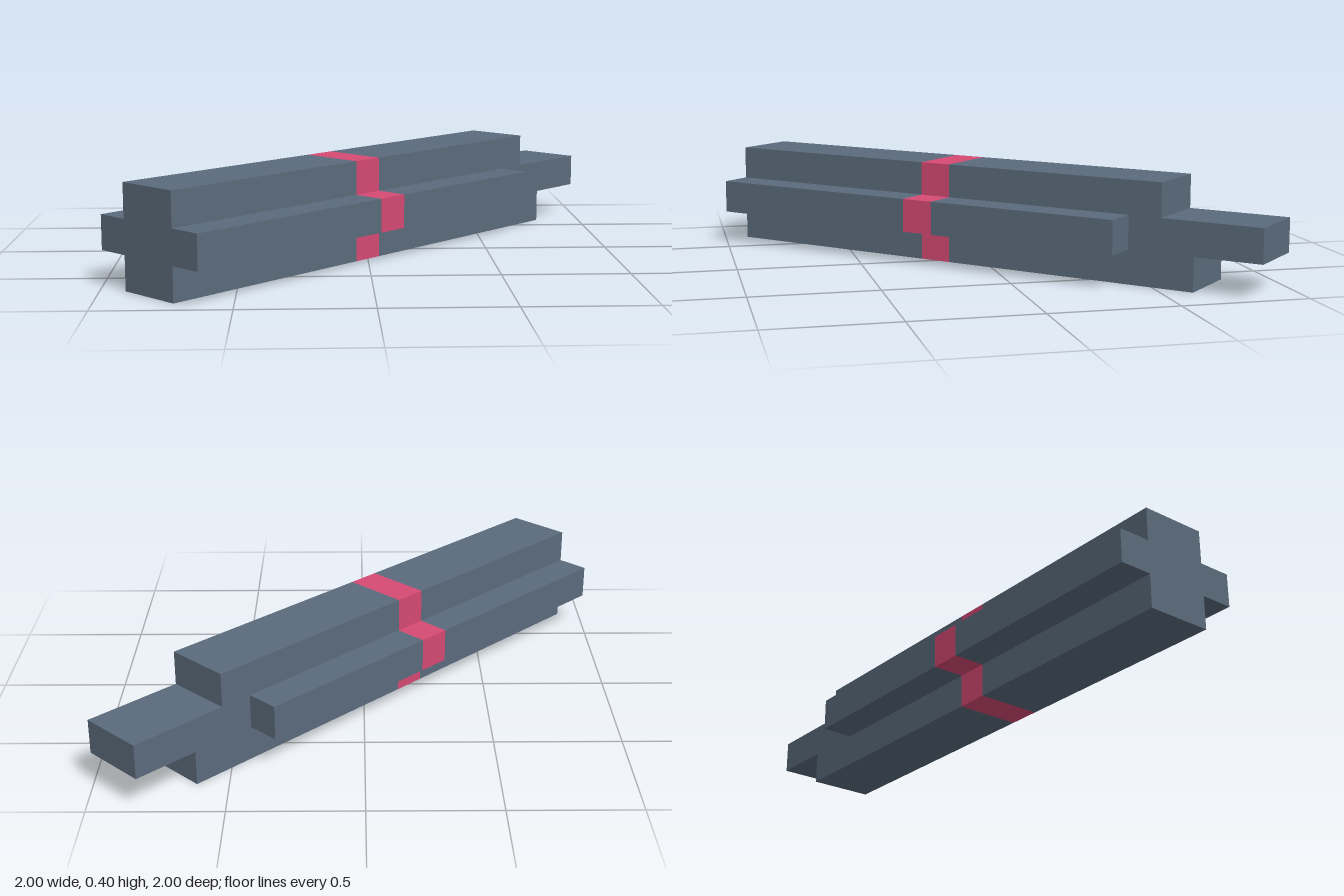
import * as THREE from 'three';

// One grid unit; the bar is 18 units long and lies diagonally
const S = (2 * Math.SQRT2) / 21;
const START = -8.5;

const rect = (x0, y0, x1, y1) => [[x0, y0], [x1, y0], [x1, y1], [x0, y1]];
const PLUS = [[-1, 0], [1, 0], [1, 1], [2, 1], [2, 2], [1, 2], [1, 3], [-1, 3], [-1, 2], [-2, 2], [-2, 1], [-1, 1]];

// Side walls of a prism between two positions along the bar
function walls(profile, from, to) {
  const pos = [];
  profile.forEach((p, i) => {
    const q = profile[(i + 1) % profile.length];
    const a = [...p, from], b = [...q, from], c = [...q, to], d = [...p, to];
    pos.push(...a, ...b, ...c, ...a, ...c, ...d);
  });
  const g = new THREE.BufferGeometry();
  g.setAttribute('position', new THREE.Float32BufferAttribute(pos, 3));
  g.computeVertexNormals();
  return g;
}

// Flat end face, looking along the bar or back
function endFace(profile, at, back = false) {
  const g = new THREE.ShapeGeometry(new THREE.Shape(profile.map(([x, y]) => new THREE.Vector2(x, y))));
  if (back) g.rotateY(Math.PI);
  return g.translate(0, 0, at);
}

export function createModel() {
  const slate = new THREE.MeshStandardMaterial({ color: 0x5b6b7c });
  slate.name = 'slate';
  const pink = new THREE.MeshStandardMaterial({ color: 0xd64a74 });
  pink.name = 'pink';

  const bar = new THREE.Group();
  bar.name = 'bar';
  const add = (name, geometry, material = slate) => {
    const mesh = new THREE.Mesh(geometry, material);
    mesh.name = name;
    bar.add(mesh);
  };

  // Cross-shaped body with a coloured band
  add('rearEnd', endFace(PLUS, 0, true));
  add('rearBody', walls(PLUS, 0, 7));
  add('band', walls(PLUS, 7, 8), pink);
  add('frontBody', walls(PLUS, 8, 14));

  // Side rails stop first, then the upper bar, then the lower bar
  for (const x of [-2, 1]) add('railEnd', endFace(rect(x, 1, x + 1, 2), 14));
  add('shoulder', walls(rect(-1, 0, 1, 3), 14, 15));
  add('upperBarEnd', endFace(rect(-1, 2, 1, 3), 15));
  add('neck', walls(rect(-1, 0, 1, 2), 15, 16));
  add('lowerBarEnd', endFace(rect(-1, 0, 1, 1), 16));

  // Core sticking out as the tip; its rear part also carries the neck's top
  add('tip', walls(rect(-1, 1, 1, 2), 16, 18));
  add('tipEnd', endFace(rect(-1, 1, 1, 2), 18));

  bar.children.forEach((m) => m.geometry.translate(0, 0, START));
  bar.scale.setScalar(S);
  bar.rotation.y = (3 * Math.PI) / 4;

  const model = new THREE.Group();
  model.name = 'model';
  model.add(bar);
  return model;
}
